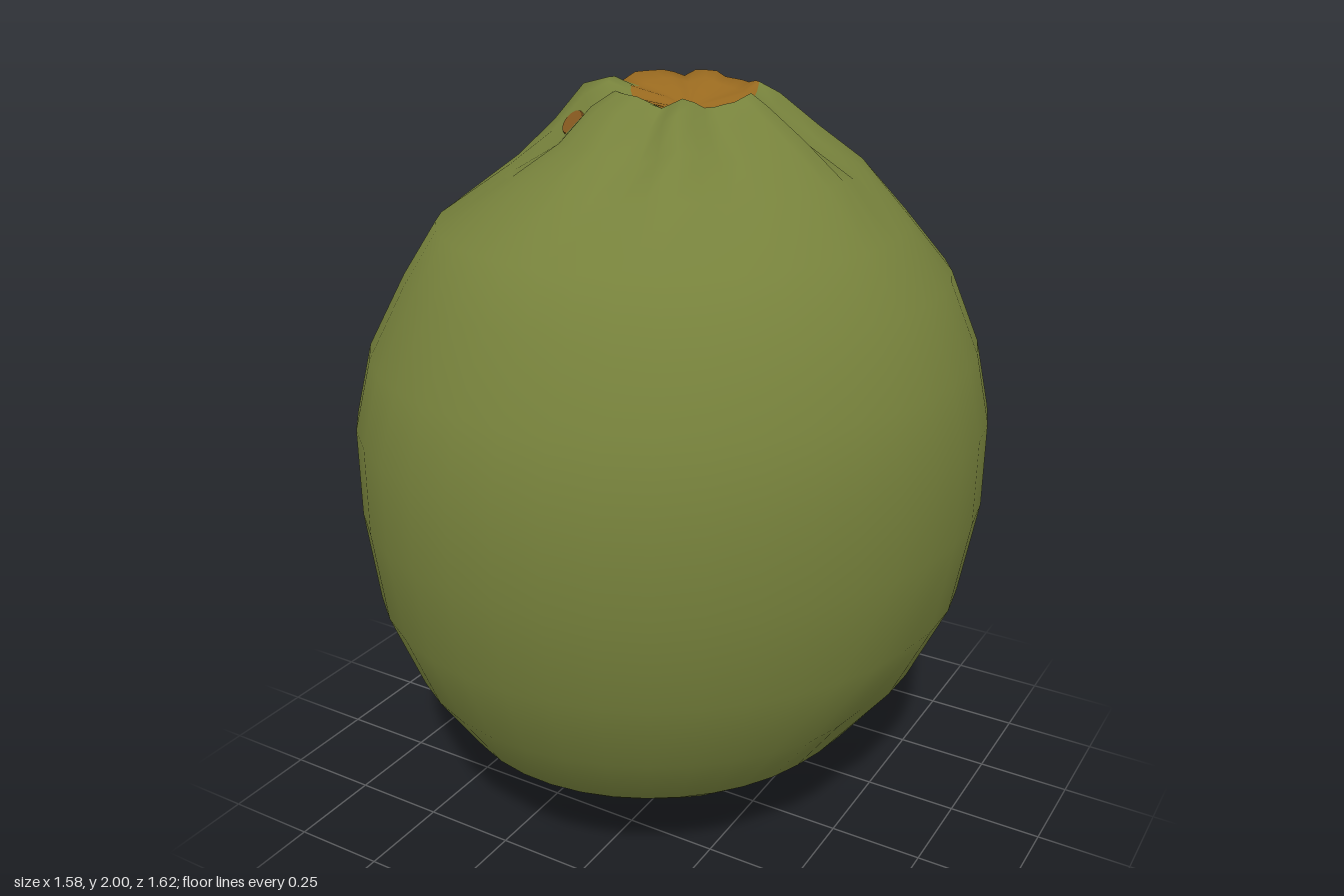
import * as THREE from 'three';
import { mergeVertices } from 'three/addons/utils/BufferGeometryUtils.js';

const SEGMENTS = 40;

// Cross-sections from the bottom tip to the stem pit: y, min x, max x, min z, max z, pucker
const RINGS = [
  [0.005, 0.02, 0.02, 0.02, 0.02, 0],
  [0.02, -0.03, 0.08, -0.03, 0.06, 0],
  [0.07, -0.10, 0.14, -0.10, 0.11, 0.008],
  [0.105, -0.27, 0.20, -0.23, 0.22, 0.012],
  [0.15, -0.42, 0.28, -0.39, 0.36, 0.01],
  [0.21, -0.50, 0.39, -0.48, 0.44, 0.004],
  [0.30, -0.59, 0.50, -0.57, 0.56, 0],
  [0.48, -0.70, 0.64, -0.69, 0.68, 0],
  [0.70, -0.77, 0.74, -0.765, 0.77, 0],
  [0.95, -0.79, 0.78, -0.81, 0.81, 0],
  [1.18, -0.785, 0.785, -0.785, 0.81, 0],
  [1.36, -0.74, 0.75, -0.73, 0.765, 0],
  [1.54, -0.645, 0.675, -0.65, 0.68, 0],
  [1.67, -0.56, 0.57, -0.55, 0.595, 0],
  [1.79, -0.39, 0.44, -0.44, 0.43, 0.008],
  [1.87, -0.28, 0.34, -0.29, 0.32, 0.02],
  [1.95, -0.20, 0.25, -0.19, 0.24, 0.022],
  [1.985, -0.14, 0.21, -0.13, 0.19, 0.014],
  [1.97, -0.08, 0.19, -0.08, 0.165, 0.006],
  [1.95, -0.01, 0.11, -0.03, 0.09, 0.004],
  [1.935, 0.05, 0.05, 0.03, 0.03, 0],
];
const PIT_START = 18;

function ringPoint([y, x0, x1, z0, z1, pucker], a) {
  const rx = (x1 - x0) / 2, rz = (z1 - z0) / 2;
  // Slightly skewed outline
  const skew = 1 - 0.028 * Math.sin(2 * a);
  // Irregular folds gathered around both ends
  const fold = Math.sin(7 * a + 0.6) + 0.6 * Math.sin(11 * a + 2);
  const r = skew * (1 + (rx > 0 ? pucker * fold * 0.35 / rx : 0));
  let py = y + pucker * fold * 0.7;
  if (y > 1.9 && rx > 0) py -= 0.012 * (Math.cos(a) + Math.sin(a));
  return new THREE.Vector3(
    (x0 + x1) / 2 + rx * r * Math.cos(a),
    THREE.MathUtils.clamp(py, 0, 2),
    (z0 + z1) / 2 + rz * r * Math.sin(a));
}

function buildSurface() {
  const positions = [], index = [];
  for (const ring of RINGS) {
    for (let j = 0; j < SEGMENTS; j++) {
      const p = ringPoint(ring, (j / SEGMENTS) * Math.PI * 2);
      // Shallow dimple low on the left side
      if (p.x > 0.4) {
        const d = ((p.y - 0.5) / 0.16) ** 2 + ((p.z - 0.12) / 0.1) ** 2;
        p.x -= 0.025 * Math.exp(-d);
      }
      positions.push(p.x, p.y, p.z);
    }
  }
  for (let i = 0; i < RINGS.length - 1; i++) {
    for (let j = 0; j < SEGMENTS; j++) {
      const k = (j + 1) % SEGMENTS;
      const a = i * SEGMENTS + j, b = i * SEGMENTS + k;
      const c = a + SEGMENTS, d = b + SEGMENTS;
      if (i > 0) index.push(a, c, b);
      if (i < RINGS.length - 2) index.push(b, c, d);
      if (i === 0) index.push(a, c, d);
      if (i === RINGS.length - 2) index.pop(), index.pop(), index.pop(), index.push(a, c, b);
    }
  }
  const geometry = new THREE.BufferGeometry();
  geometry.setAttribute('position', new THREE.Float32BufferAttribute(positions, 3));
  geometry.setIndex(index);
  const merged = mergeVertices(geometry);
  merged.computeVertexNormals();
  // Skin first, then the exposed stem pit
  const pitFirst = SEGMENTS * 3 + (PIT_START - 1) * SEGMENTS * 6;
  merged.clearGroups();
  merged.addGroup(0, pitFirst, 0);
  merged.addGroup(pitFirst, index.length - pitFirst, 1);
  return merged;
}

export function createModel() {
  const skin = new THREE.MeshStandardMaterial({ color: 0x77823c });
  skin.name = 'olive green skin';
  const stem = new THREE.MeshStandardMaterial({ color: 0x98691f });
  stem.name = 'orange brown stem scar';
  const blemish = new THREE.MeshStandardMaterial({ color: 0x85581f });
  blemish.name = 'brown blemish';

  const group = new THREE.Group();
  group.name = 'citrusFruit';
  const body = new THREE.Mesh(buildSurface(), [skin, stem]);
  body.name = 'fruitBodyAndStemPit';
  group.add(body);

  // Small blemish laid flat on the skin beside the stem
  const ray = new THREE.Raycaster(new THREE.Vector3(-0.19, 3, 0.165), new THREE.Vector3(0, -1, 0));
  const hit = ray.intersectObject(body)[0];
  if (hit) {
    const spot = new THREE.Mesh(new THREE.CylinderGeometry(0.032, 0.036, 0.009, 12), blemish);
    spot.name = 'skinBlemish';
    spot.position.copy(hit.point);
    spot.quaternion.setFromUnitVectors(new THREE.Vector3(0, 1, 0), hit.face.normal);
    group.add(spot);
  }
  return group;
}
